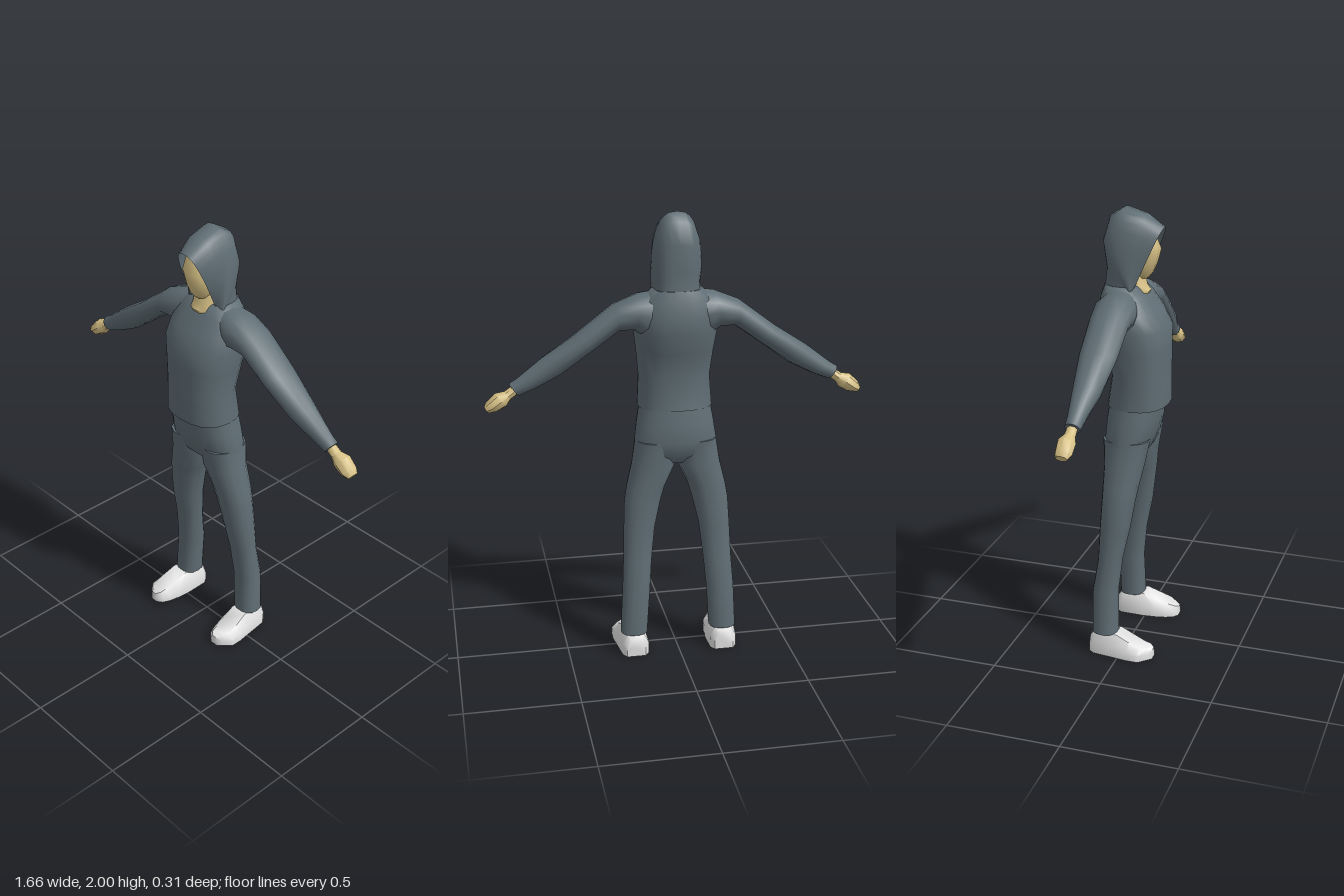
import * as THREE from 'three';
import { toCreasedNormals } from 'three/addons/utils/BufferGeometryUtils.js';

const material = (name, color) => Object.assign(new THREE.MeshStandardMaterial({ color }), { name });

// Closed skin over equal-sized rings, capped at both ends and turned outwards
function loft(rings, crease = 1.0) {
  const n = rings[0].length, pts = rings.flat(), idx = [];
  for (let r = 0; r < rings.length - 1; r++) {
    for (let i = 0; i < n; i++) {
      const a = r * n + i, b = r * n + (i + 1) % n;
      idx.push(a, b, b + n, a, b + n, a + n);
    }
  }
  for (const r of [0, rings.length - 1]) {
    const mid = new THREE.Vector3();
    rings[r].forEach((p) => mid.addScaledVector(p, 1 / n));
    const c = pts.push(mid) - 1;
    for (let i = 0; i < n; i++) {
      const a = r * n + i, b = r * n + (i + 1) % n;
      if (r === 0) idx.push(c, b, a); else idx.push(c, a, b);
    }
  }
  let volume = 0;
  for (let i = 0; i < idx.length; i += 3) {
    volume += pts[idx[i]].dot(new THREE.Vector3().crossVectors(pts[idx[i + 1]], pts[idx[i + 2]]));
  }
  if (volume < 0) idx.reverse();
  const g = new THREE.BufferGeometry().setFromPoints(pts);
  g.setIndex(idx);
  return toCreasedNormals(g, crease);
}

const power = (v, e) => Math.sign(v) * Math.abs(v) ** e;

// Level ring between x0..x1 and zBack..zFront
function levelRing(y, x0, x1, zFront, zBack, n = 16, e = 0.85) {
  return Array.from({ length: n }, (_, i) => {
    const t = (i / n) * Math.PI * 2;
    return new THREE.Vector3((x0 + x1) / 2 + (x1 - x0) / 2 * power(Math.cos(t), e), y,
      (zFront + zBack) / 2 + (zFront - zBack) / 2 * power(Math.sin(t), e));
  });
}
const body = (rows, n) => loft(rows.map(([y, w, f, b]) => levelRing(y, -w, w, f, b, n)));

// Slanted ring through a top and a bottom point, for the arms
function limbRing([tx, ty, bx, by, zFront, zBack], side, n = 12) {
  return Array.from({ length: n }, (_, i) => {
    const t = (i / n) * Math.PI * 2, c = Math.cos(t) / 2;
    return new THREE.Vector3(side * ((tx + bx) / 2 + (tx - bx) * c), (ty + by) / 2 + (ty - by) * c,
      (zFront + zBack) / 2 + (zFront - zBack) / 2 * Math.sin(t));
  });
}

// Flat-soled cross-section of a shoe
function shoeRing([z, x0, x1, h], side) {
  const w = x1 - x0;
  return [[x0, 0], [x1, 0], [x1, h * 0.55], [x1 - w * 0.2, h], [x0 + w * 0.2, h], [x0, h * 0.55]]
    .map(([x, y]) => new THREE.Vector3(side * x, y, z));
}

// Open hood: arches that swing from the face opening to the nape
function hoodGeometry() {
  const arches = [
    [0.13, 1.92, 0.08], [0.05, 1.973, 0.112], [-0.04, 2.0, 0.12], [-0.1, 1.965, 0.122],
    [-0.13, 1.87, 0.12], [-0.115, 1.75, 0.112], [-0.125, 1.655, 0.115],
  ];
  const n = 16, pts = [], idx = [];
  for (const [z, y, w] of arches) {
    for (let i = 0; i <= n; i++) {
      const t = (i / n) * Math.PI, s = Math.max(0, Math.sin(t)) ** 0.8;
      pts.push(new THREE.Vector3(w * power(Math.cos(t), 0.75) * (0.86 + 0.14 * s), 1.65 + (y - 1.65) * s, 0.01 + (z - 0.01) * s));
    }
  }
  for (let r = 0; r < arches.length - 1; r++) {
    for (let i = 0; i < n; i++) {
      const a = r * (n + 1) + i, b = a + n + 1;
      idx.push(a, a + 1, b + 1, a, b + 1, b);
    }
  }
  const g = new THREE.BufferGeometry().setFromPoints(pts);
  g.setIndex(idx);
  g.computeVertexNormals();
  return g;
}

export function createModel() {
  const cloth = material('slate cloth', 0x5f6d74);
  cloth.side = THREE.DoubleSide;
  const skin = material('skin', 0xd6c085);
  const white = material('white shoe', 0xe2e2e2);
  const model = new THREE.Group();
  model.name = 'hoodedFigure';
  const add = (name, geometry, mat) => {
    const mesh = new THREE.Mesh(geometry, mat);
    mesh.name = name;
    model.add(mesh);
  };

  // Sweater body: y, half width, front z, back z
  add('sweater', body([
    [1.145, 0.165, 0.155, -0.11], [1.28, 0.157, 0.155, -0.09], [1.4, 0.17, 0.155, -0.12],
    [1.49, 0.182, 0.155, -0.15], [1.56, 0.18, 0.115, -0.15], [1.63, 0.155, 0.065, -0.138],
    [1.675, 0.11, 0.03, -0.125],
  ], 20), cloth);
  add('hood', hoodGeometry(), cloth);

  // Head and neck
  add('neck', body([[1.6, 0.06, 0.045, -0.08], [1.645, 0.064, 0.068, -0.08], [1.67, 0.064, 0.05, -0.08],
    [1.76, 0.058, 0.04, -0.08]], 14), skin);
  add('head', body([
    [1.7, 0.032, 0.06, -0.03], [1.725, 0.052, 0.08, -0.06], [1.77, 0.066, 0.098, -0.08],
    [1.825, 0.072, 0.112, -0.09], [1.88, 0.072, 0.088, -0.09], [1.93, 0.055, 0.06, -0.07], [1.95, 0.025, 0.02, -0.05],
  ], 14), skin);

  // Upper part of the trousers
  add('trouserSeat', body([
    [1.17, 0.155, 0.125, -0.1], [1.08, 0.171, 0.12, -0.112], [1.0, 0.183, 0.1, -0.117],
    [0.94, 0.185, 0.075, -0.105], [0.895, 0.1, 0.03, -0.07],
  ], 20), cloth);

  for (const [side, label] of [[1, 'left'], [-1, 'right']]) {
    // Sleeve and hand: top x, top y, bottom x, bottom y, front z, back z
    add(label + 'Sleeve', loft([
      [0.06, 1.675, 0.14, 1.46, 0.045, -0.12], [0.16, 1.66, 0.185, 1.5, 0.062, -0.132],
      [0.27, 1.615, 0.25, 1.502, 0.055, -0.12], [0.435, 1.49, 0.35, 1.43, 0.05, -0.115],
      [0.58, 1.395, 0.5, 1.32, 0.03, -0.09], [0.69, 1.31, 0.605, 1.266, 0.005, -0.07],
      [0.723, 1.29, 0.682, 1.235, 0, -0.065],
    ].map((r) => limbRing(r, side))), cloth);
    add(label + 'Hand', loft([
      [0.69, 1.295, 0.67, 1.255, -0.012, -0.055], [0.742, 1.258, 0.718, 1.22, -0.01, -0.058],
      [0.782, 1.252, 0.733, 1.195, 0.002, -0.075], [0.822, 1.215, 0.775, 1.172, 0.002, -0.072],
      [0.832, 1.195, 0.812, 1.166, -0.01, -0.06],
    ].map((r) => limbRing(r, side, 8)), 0.8), skin);

    // Trouser leg: y, inner x, outer x, front z, back z
    add(label + 'TrouserLeg', loft([
      [1.0, 0.01, 0.18, 0.095, -0.11], [0.89, 0.004, 0.198, 0.073, -0.103], [0.785, 0.053, 0.223, 0.055, -0.1],
      [0.72, 0.072, 0.234, 0.044, -0.1], [0.6, 0.1, 0.24, 0.027, -0.105], [0.45, 0.117, 0.246, -0.004, -0.11],
      [0.3, 0.13, 0.255, -0.02, -0.133], [0.1, 0.143, 0.265, -0.015, -0.133],
    ].map(([y, x0, x1, f, b]) => levelRing(y, ...(side > 0 ? [x0, x1] : [-x1, -x0]), f, b, 14))), cloth);

    // Shoe: z, inner x, outer x, height
    add(label + 'Shoe', loft([
      [-0.14, 0.16, 0.245, 0.075], [-0.115, 0.143, 0.262, 0.1], [-0.01, 0.14, 0.275, 0.103],
      [0.05, 0.145, 0.283, 0.078], [0.1, 0.155, 0.283, 0.06], [0.135, 0.17, 0.25, 0.052], [0.153, 0.195, 0.23, 0.045],
    ].map((r) => shoeRing(r, side)), 0.9), white);
  }
  return model;
}
